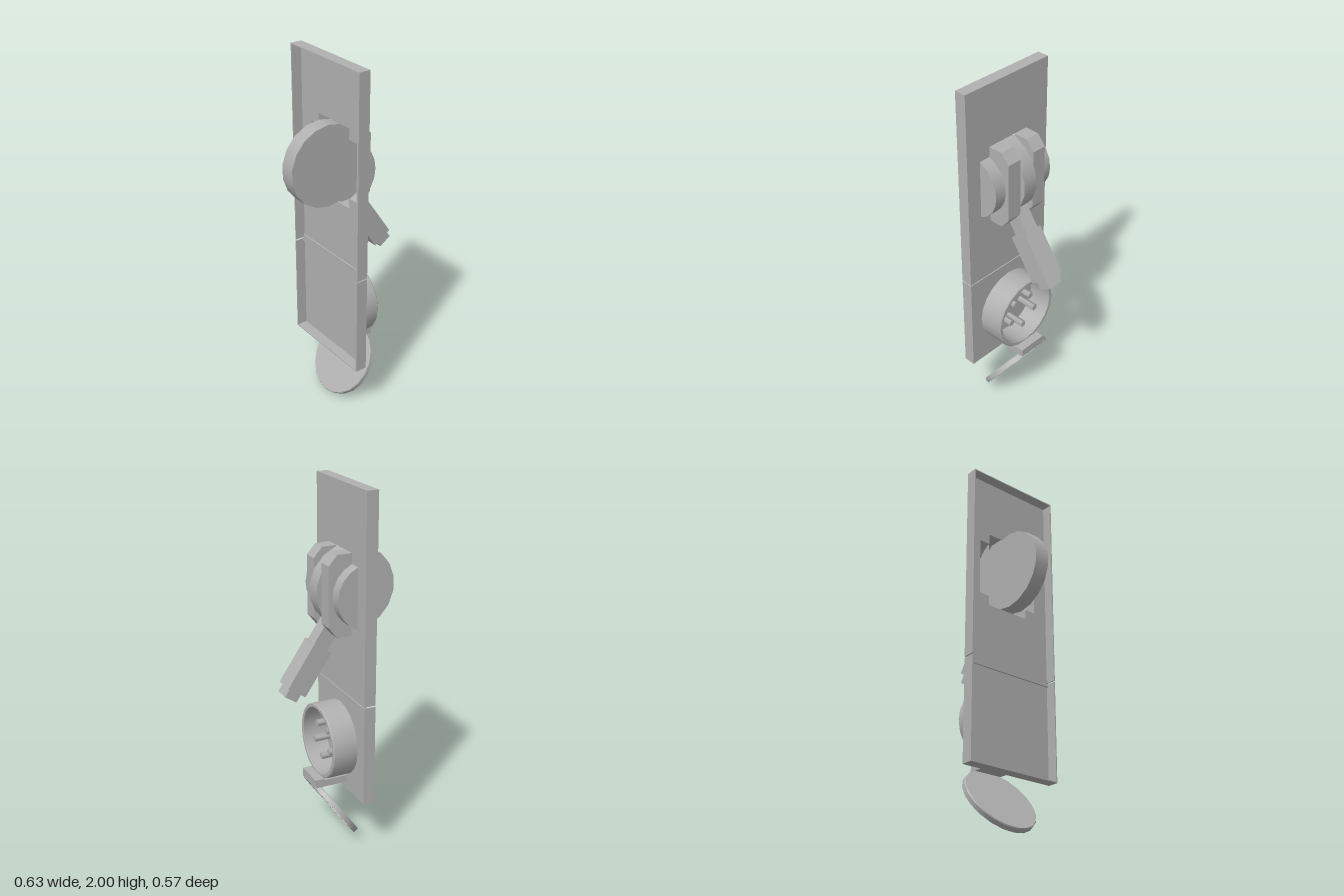
import * as THREE from 'three';
import { toCreasedNormals } from 'three/addons/utils/BufferGeometryUtils.js';

const grey = new THREE.MeshStandardMaterial({ color: 0xb0b0b0, side: THREE.DoubleSide });
grey.name = 'grey plastic';

export function createModel() {
  const model = new THREE.Group();
  model.name = 'switchAndSocketPanel';

  const add = (name, geometry, parent = model) => {
    const mesh = new THREE.Mesh(geometry, grey);
    mesh.name = name;
    parent.add(mesh);
    return mesh;
  };
  const box = (name, x0, x1, y0, y1, z0, z1, parent) => {
    const g = new THREE.BoxGeometry(x1 - x0, y1 - y0, z1 - z0);
    g.translate((x0 + x1) / 2, (y0 + y1) / 2, (z0 + z1) / 2);
    return add(name, g, parent);
  };
  const lathe = (points, sides) => toCreasedNormals(
    new THREE.LatheGeometry(points.map(p => new THREE.Vector2(...p)), sides), 0.6);
  const toShape = points => new THREE.Shape(points.map(p => new THREE.Vector2(...p)));

  // Panels: hollow trays, open at the back
  const FRONT = -0.025, BACK = -0.09, W = 0.283, T = 0.006;
  const panel = (name, y0, y1, hole) => {
    const shape = toShape([[-W, y0], [W, y0], [W, y1], [-W, y1]]);
    if (hole) shape.holes.push(new THREE.Path(hole.map(p => new THREE.Vector2(...p))));
    const g = new THREE.ExtrudeGeometry(shape, { depth: T, bevelEnabled: false });
    g.rotateY(Math.PI / 2).translate(FRONT - T, 0, 0);
    add(name, g);
    box(name + 'Wall', BACK, FRONT - T, y0, y1, W - T, W);
    box(name + 'Wall', BACK, FRONT - T, y0, y1, -W, -W + T);
  };
  panel('upperPanel', 0.874, 2, [
    [-0.13, 1.22], [0.13, 1.22], [0.13, 1.275], [0.194, 1.275], [0.194, 1.6], [0.13, 1.6],
    [0.13, 1.66], [-0.13, 1.66], [-0.13, 1.6], [-0.194, 1.6], [-0.194, 1.275], [-0.13, 1.275]]);
  panel('lowerPanel', 0.3, 0.866);
  box('topWall', BACK, FRONT - T, 2 - T, 2, -W + T, W - T);
  box('bottomWall', BACK, FRONT - T, 0.3, 0.3 + T, -W + T, W - T);
  box('panelJoint', FRONT - 0.014, FRONT - T, 0.85, 0.89, -W + T, W - T);

  // Rotary switch disc
  const disc = new THREE.CylinderGeometry(0.226, 0.226, 0.086, 18);
  disc.rotateX(Math.PI / 2).translate(-0.093, 1.44, 0);
  add('switchDisc', disc);

  // Housings on both sides of the disc, open towards the back
  const strip = (points, z0, z1) => {
    const v = [];
    for (let i = 0; i < points.length - 1; i++) {
      const [a, b] = points[i], [c, d] = points[i + 1];
      v.push(a, b, z0, c, d, z0, c, d, z1, a, b, z0, c, d, z1, a, b, z1);
    }
    const g = new THREE.BufferGeometry();
    g.setAttribute('position', new THREE.Float32BufferAttribute(v, 3));
    return toCreasedNormals(g, 0.6);
  };
  const block = [[FRONT, 1.22], [0.057, 1.22], [0.105, 1.28], [0.105, 1.605], [0.057, 1.66], [FRONT, 1.66]];
  const barrel = [];
  for (let i = 0; i <= 8; i++) {
    const a = -1.175 + 2.35 * i / 8;
    barrel.push([-0.094 + 0.179 * Math.cos(a), 1.438 + 0.179 * Math.sin(a)]);
  }
  for (const s of [1, -1]) {
    const housing = new THREE.Group();
    housing.name = s > 0 ? 'leftHousing' : 'rightHousing';
    model.add(housing);
    add('block', strip(block, s * 0.046, s * 0.13), housing);
    add('blockInnerSide', new THREE.ShapeGeometry(toShape(block)), housing).position.z = s * 0.046;
    add('blockOuterSide', new THREE.ShapeGeometry(toShape(block)), housing).position.z = s * 0.13;
    add('barrel', strip(barrel, s * 0.13, s * 0.197), housing);
    add('barrelEnd', new THREE.ShapeGeometry(toShape(barrel)), housing).position.z = s * 0.197;
  }

  // Lever hanging forward from the disc
  const lever = new THREE.Group();
  lever.name = 'lever';
  lever.position.set(0.18, 1.033, 0);
  lever.rotation.z = 0.594;
  model.add(lever);
  box('leverNeck', -0.041, 0.05, 0.13, 0.3, -0.041, 0.041, lever);
  box('leverGrip', -0.058, 0.058, -0.135, 0.135, -0.058, 0.058, lever);
  box('leverTip', -0.034, 0.043, -0.183, -0.13, -0.045, 0.045, lever);

  // Socket collar with five pins
  const collar = lathe([[0.187, 0], [0.212, 0], [0.212, 0.134], [0.206, 0.14], [0.19, 0.14], [0.187, 0.137], [0.187, 0]], 20);
  collar.rotateZ(-Math.PI / 2).translate(FRONT, 0.588, 0);
  add('socketCollar', collar);
  for (const [z, y] of [[0.058, 0.665], [-0.058, 0.665], [0.092, 0.555], [-0.092, 0.555], [0, 0.49]]) {
    const pin = new THREE.CylinderGeometry(0.02, 0.02, 0.115, 5);
    pin.rotateZ(-Math.PI / 2).translate(FRONT + 0.0575, y, z);
    add('pin', pin);
  }

  // Hinge and open lid
  box('hingeArm', FRONT, 0.115, 0.345, 0.385, -0.085, 0.085);
  box('hingeKnuckle', 0.112, 0.165, 0.345, 0.393, -0.085, 0.085);
  const lid = add('socketLid', lathe([[0, -0.015], [0.208, -0.015], [0.212, -0.01], [0.212, 0.015],
    [0.187, 0.015], [0.187, -0.005], [0, -0.005]], 20));
  lid.position.set(0.034, 0.181, 0);
  lid.rotation.z = -2.18;

  return model;
}
